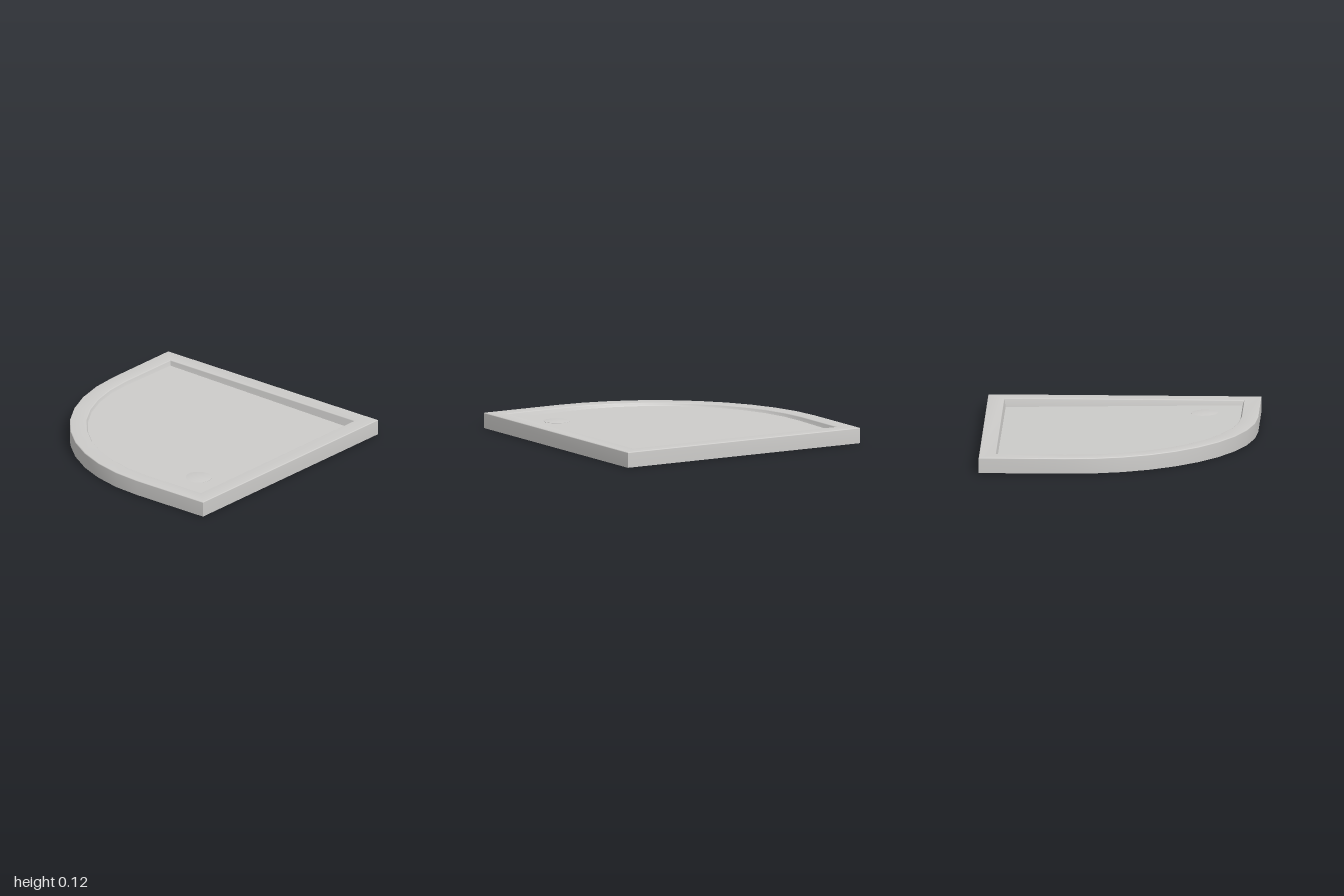
import * as THREE from 'three';
import { toCreasedNormals } from 'three/addons/utils/BufferGeometryUtils.js';

const CENTRE = 0.37; // arc centre is (CENTRE, -CENTRE) in x, z
const RADIUS = 1.37;
const ARC_STEPS = 10;
const TOP = 0.115;
const BEVEL = 0.007;
const WALL_INSET = 0.123;
const FLOOR_INSET = 0.132;
const DRAIN = { x: 0.62, z: 0.6, r: 0.1 };

// The floor falls gently towards the square corner at +x, -z
const floorHeight = (x, z) => 0.078 - 0.016 * (x - z);

// Quadrant outline in x, z, moved inwards by d
function outline(d) {
  const e = 1 - d;
  const points = [[e, -e], [e, e]];
  for (let i = 0; i <= ARC_STEPS; i++) {
    const a = Math.PI / 2 * (1 + i / ARC_STEPS);
    points.push([CENTRE + (RADIUS - d) * Math.cos(a), -CENTRE + (RADIUS - d) * Math.sin(a)]);
  }
  points.push([-e, -e]);
  return points;
}

// Joins outlines into one band; each row is [inset, height or height function]
function loft(rows) {
  const position = [];
  const index = [];
  const n = outline(0).length;
  for (const [d, y] of rows) {
    for (const [x, z] of outline(d)) position.push(x, typeof y === 'function' ? y(x, z) : y, z);
  }
  for (let r = 0; r < rows.length - 1; r++) {
    for (let i = 0; i < n; i++) {
      const j = (i + 1) % n;
      const a = r * n + i, b = r * n + j, c = b + n, e = a + n;
      index.push(a, e, c, a, c, b);
    }
  }
  const geometry = new THREE.BufferGeometry();
  geometry.setAttribute('position', new THREE.Float32BufferAttribute(position, 3));
  geometry.setIndex(index);
  return toCreasedNormals(geometry, 0.65);
}

export function createModel() {
  const group = new THREE.Group();
  group.name = 'showerTray';
  const grey = new THREE.MeshStandardMaterial({ color: 0xcccbc9, side: THREE.DoubleSide });
  grey.name = 'light grey';

  const add = (name, geometry) => {
    const mesh = new THREE.Mesh(geometry, grey);
    mesh.name = name;
    group.add(mesh);
    return mesh;
  };

  // Open skirt, rounded rim and recess wall as one continuous shell
  const rows = [[0, 0], [0, TOP - BEVEL - 0.001]];
  const turns = [0, 1, 2, 3].map((i) => i * Math.PI / 6);
  for (const a of turns) rows.push([BEVEL * (1 - Math.cos(a)), TOP - BEVEL * (1 - Math.sin(a))]);
  rows.push([BEVEL + 0.001, TOP], [WALL_INSET - BEVEL - 0.001, TOP]);
  for (const a of turns) rows.push([WALL_INSET - BEVEL * (1 - Math.sin(a)), TOP - BEVEL * (1 - Math.cos(a))]);
  rows.push([FLOOR_INSET, floorHeight]);
  add('rim', loft(rows));

  // Sloping floor
  const shape = new THREE.Shape(outline(FLOOR_INSET).map(([x, z]) => new THREE.Vector2(x, -z)));
  const floor = new THREE.ShapeGeometry(shape).rotateX(-Math.PI / 2);
  const p = floor.attributes.position;
  for (let i = 0; i < p.count; i++) p.setY(i, floorHeight(p.getX(i), p.getZ(i)));
  floor.computeVertexNormals();
  add('floor', floor);

  // Level drain body showing below the floor, with a shallow domed cover
  const drainTop = floorHeight(DRAIN.x, DRAIN.z) + 0.001;
  const body = add('drainBody', new THREE.CylinderGeometry(DRAIN.r, DRAIN.r, 0.013, 24));
  body.position.set(DRAIN.x, drainTop - 0.0075, DRAIN.z);
  const R = 0.8;
  const angle = Math.asin(DRAIN.r / R);
  const cover = add('drainCover', new THREE.SphereGeometry(R, 24, 5, 0, Math.PI * 2, 0, angle));
  cover.position.set(DRAIN.x, drainTop - R * Math.cos(angle), DRAIN.z);

  return group;
}
